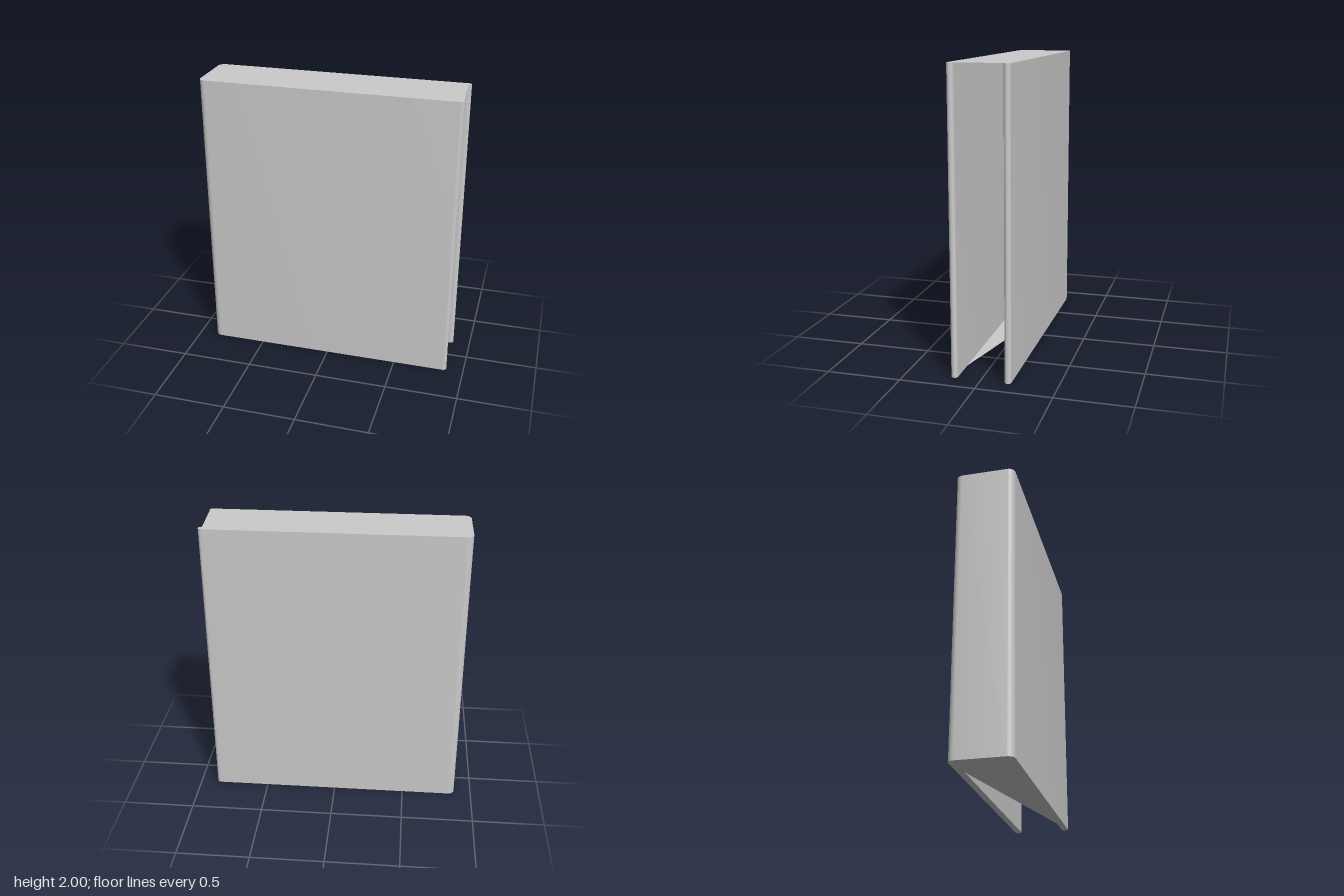
import * as THREE from 'three';
import { toCreasedNormals } from 'three/addons/utils/BufferGeometryUtils.js';

const W = 0.88, D = 0.2, T = 0.045, R = T / 2, H = 2;
const PI = Math.PI;

export function createModel() {
  const group = new THREE.Group();
  const material = new THREE.MeshStandardMaterial({ color: 0xcccccc, side: THREE.DoubleSide });

  const add = (name, geometry, y = 0) => {
    const mesh = new THREE.Mesh(geometry, material);
    mesh.name = name;
    mesh.position.y = y;
    group.add(mesh);
  };

  // Folded wall: a C-shaped plan with rounded folds and rounded free ends
  const plan = new THREE.Shape();
  plan.moveTo(W - R, D);
  plan.lineTo(-W + T, D);
  plan.absarc(-W + T, D - T, T, PI / 2, PI, false);
  plan.lineTo(-W, -D + T);
  plan.absarc(-W + T, -D + T, T, PI, PI * 1.5, false);
  plan.lineTo(W - R, -D);
  plan.absarc(W - R, -D + R, R, -PI / 2, PI / 2, false);
  plan.lineTo(-W + T, -D + T);
  plan.lineTo(-W + T, D - T);
  plan.lineTo(W - R, D - T);
  plan.absarc(W - R, D - R, R, -PI / 2, PI / 2, false);
  const wall = new THREE.ExtrudeGeometry(plan, { depth: H, bevelEnabled: false, curveSegments: 8 });
  wall.rotateX(-PI / 2);
  add('foldedWall', toCreasedNormals(wall, PI / 5));

  // Flat sheet from plan corners given as [x, z]
  const sheet = (corners, up) => {
    const shape = new THREE.Shape(corners.map(([x, z]) => new THREE.Vector2(x, up ? -z : z)));
    return new THREE.ShapeGeometry(shape).rotateX(up ? -PI / 2 : PI / 2);
  };
  const inX = -W + T, inZ = D - T;

  // Top closes the whole cavity, with a slanted open edge
  add('topCover', sheet([[inX, inZ], [W - 0.005, inZ], [W - R, -inZ], [inX, -inZ]], true), H);

  // Bottom closes only the front half, cut along a diagonal
  add('bottomCover', sheet([[inX, inZ], [0.67, inZ], [-0.65, -inZ], [inX, -inZ]], false));

  return group;
}
